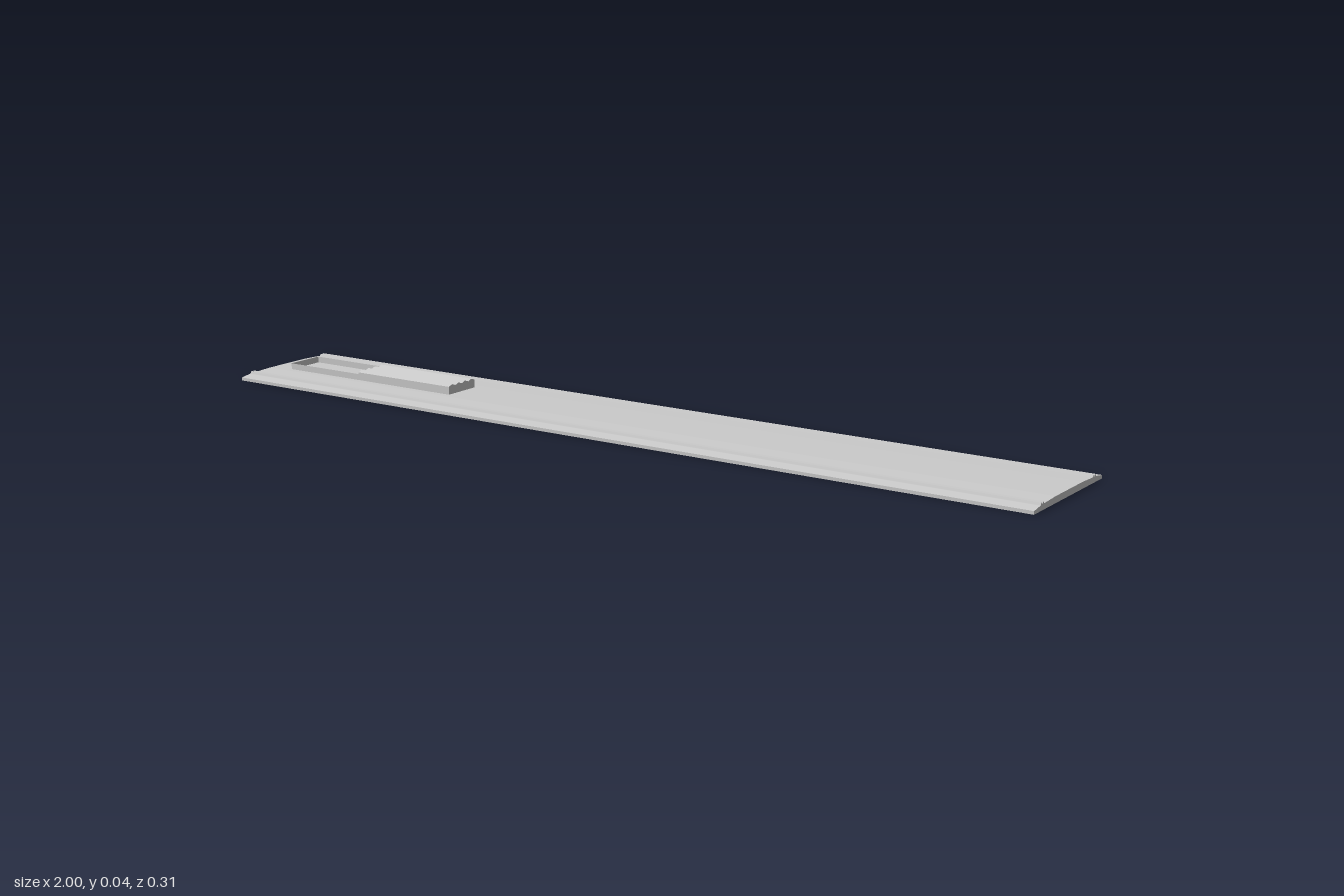
import * as THREE from 'three';

const material = new THREE.MeshStandardMaterial({ color: 0xcccccc, flatShading: true, side: THREE.DoubleSide });

// Extrudes a [z, y] cross-section along x from x0 to x1.
function extrudeAlongX(name, points, x0, x1) {
  const shape = new THREE.Shape(points.map(([z, y]) => new THREE.Vector2(-z, y)));
  const geometry = new THREE.ExtrudeGeometry(shape, { depth: x1 - x0, bevelEnabled: false });
  geometry.rotateY(Math.PI / 2);
  geometry.translate(x0, 0, 0);
  const mesh = new THREE.Mesh(geometry, material);
  mesh.name = name;
  return mesh;
}

// Thin upright panel centred at (x, y, z).
function panel(width, height, x, y, z, turn = 0) {
  const mesh = new THREE.Mesh(new THREE.PlaneGeometry(width, height), material);
  mesh.position.set(x, y, z);
  mesh.rotation.y = turn;
  mesh.name = 'trayWall';
  return mesh;
}

export function createModel() {
  const group = new THREE.Group();
  group.name = 'ribbedStrip';

  // Flat base and gently crowned deck with a pair of small ribs along each edge
  const half = [
    [0.156, 0], [0.156, 0.007], [0.129, 0.011],
    [0.127, 0.011], [0.125, 0.016], [0.122, 0.016], [0.120, 0.012],
    [0.119, 0.012], [0.117, 0.016], [0.114, 0.016], [0.112, 0.012],
    [0.062, 0.014],
  ];
  const mirrored = half.map(([z, y]) => [-z, y]).reverse();
  group.add(extrudeAlongX('deck', [...half, ...mirrored], -1, 1));

  // Grip block with four ridges on top
  const grip = [[0.046, 0.012]];
  for (let i = 0; i <= 8; i++) grip.push([0.046 - i * 0.0115, i % 2 ? 0.036 : 0.032]);
  grip.push([-0.046, 0.012]);
  group.add(extrudeAlongX('gripBlock', grip, -0.737, -0.47));

  // Open tray with thin walls beside the grip block
  const tray = new THREE.Group();
  tray.name = 'openTray';
  const x0 = -0.945, x1 = -0.737, h = 0.016, y = 0.02;
  for (const s of [-1, 1]) tray.add(panel(x1 - x0, h, (x0 + x1) / 2, y, s * 0.046, s < 0 ? Math.PI : 0));
  tray.add(panel(0.092, h, x0, y, 0, -Math.PI / 2));
  group.add(tray);

  return group;
}
